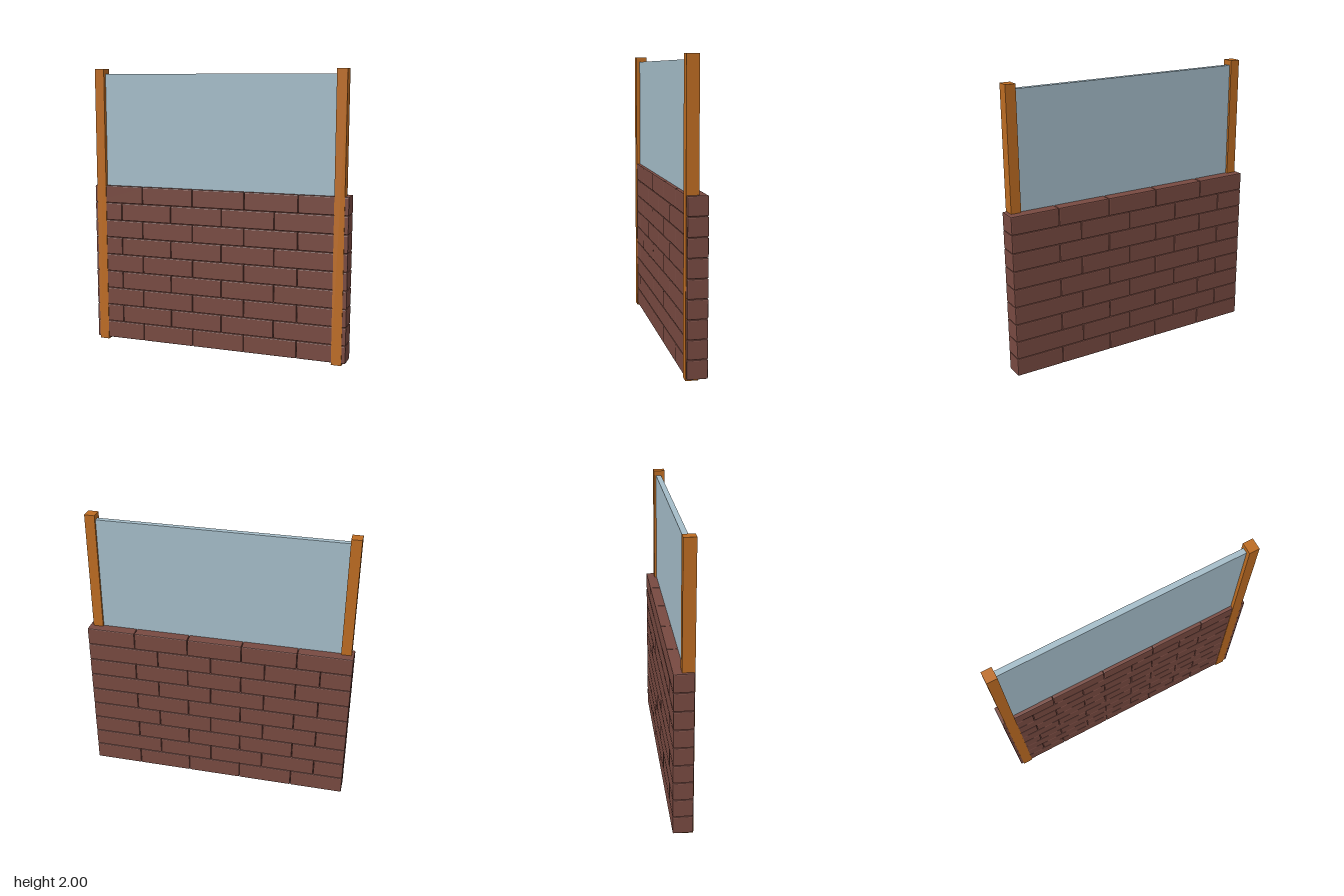
import * as THREE from 'three';
import { RoundedBoxGeometry } from 'three/addons/geometries/RoundedBoxGeometry.js';

function material(name, color) {
  const m = new THREE.MeshStandardMaterial({ color });
  m.name = name;
  return m;
}

export function createModel() {
  const group = new THREE.Group();
  const brickRed = material('brick red', 0x784a41);
  const wood = material('orange wood', 0xbd6c22);
  const glass = material('pale blue glass', 0xa5bdc9);

  // Adds a plain box given by its lower and upper corners
  function box(name, mat, [x0, y0, z0], [x1, y1, z1]) {
    const mesh = new THREE.Mesh(new THREE.BoxGeometry(x1 - x0, y1 - y0, z1 - z0), mat);
    mesh.position.set((x0 + x1) / 2, (y0 + y1) / 2, (z0 + z1) / 2);
    mesh.name = name;
    group.add(mesh);
  }

  // Brick wall: chamfered bricks in nine courses with alternating joints
  const wall = new THREE.Group();
  wall.name = 'brickWall';
  group.add(wall);
  const courses = [
    [-0.946, -0.565, -0.177, 0.209, 0.595, 0.943],
    [-0.946, -0.731, -0.344, 0.042, 0.428, 0.943],
  ];
  const base = 0.013, pitch = 0.1275, gap = 0.002, depth = 0.134;
  for (let row = 0; row < 9; row++) {
    const joints = courses[row % 2];
    for (let i = 0; i < joints.length - 1; i++) {
      const width = joints[i + 1] - joints[i] - gap;
      const geometry = new RoundedBoxGeometry(width, pitch - gap, depth, 1, 0.007);
      geometry.computeVertexNormals(); // flat chamfers
      const brick = new THREE.Mesh(geometry, brickRed);
      brick.position.set((joints[i] + joints[i + 1]) / 2, base + pitch * (row + 0.5), -0.001);
      brick.name = 'brick';
      wall.add(brick);
    }
  }

  // Timber posts set into the front of the wall
  box('rightPost', wood, [-0.926, 0, -0.012], [-0.855, 2, 0.069]);
  box('leftPost', wood, [0.843, 0, -0.012], [0.914, 2, 0.069]);

  // Glass pane between the posts, standing on the wall
  box('glassPane', glass, [-0.858, 1.14, 0.004], [0.846, 1.965, 0.042]);

  return group;
}
